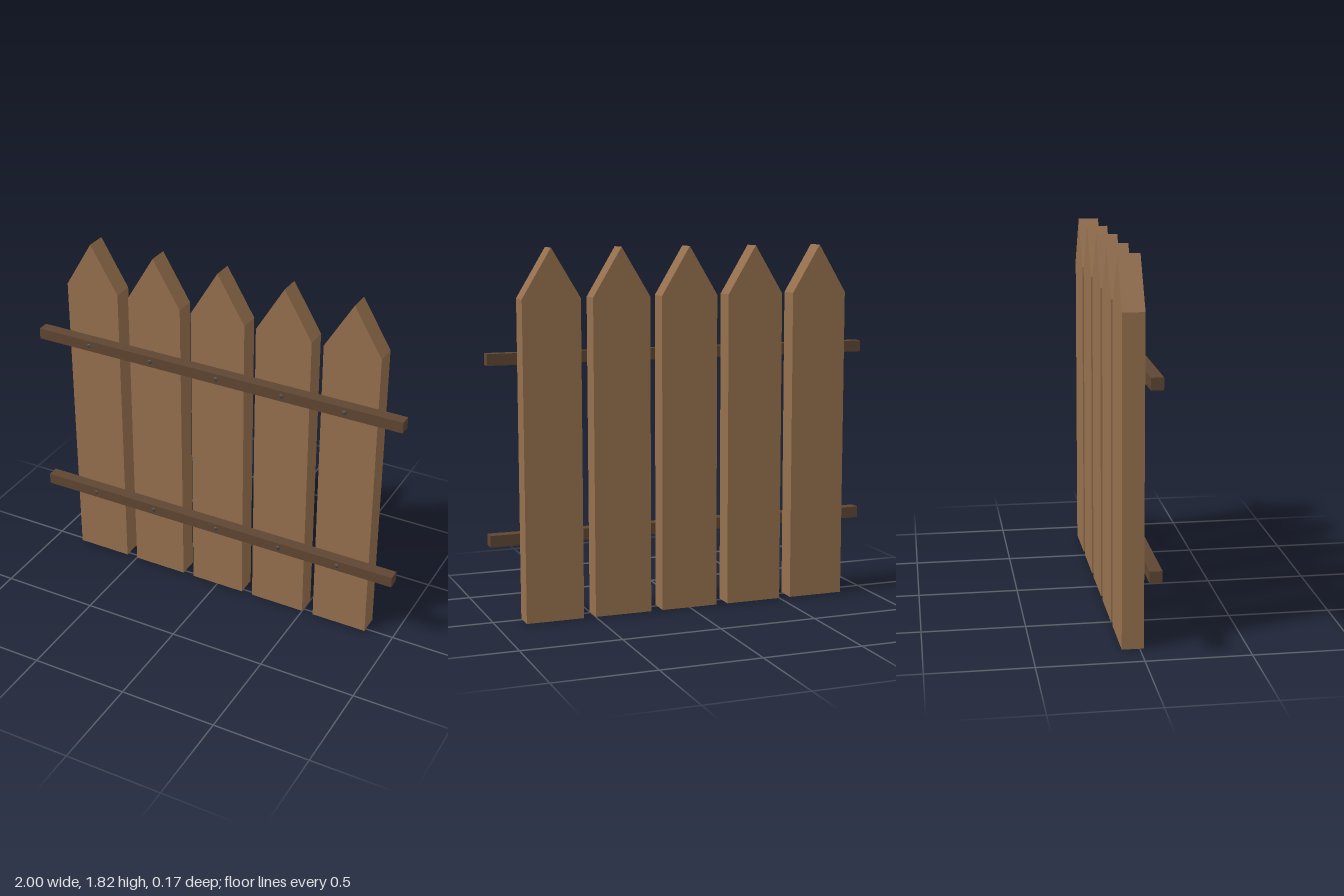
import * as THREE from 'three';

export function createModel() {
  const group = new THREE.Group();
  const mat = (color) => new THREE.MeshStandardMaterial({ color, flatShading: true });
  const boardMat = mat(0x96704e), railMat = mat(0x5f4633), nailMat = mat(0x47474a);

  const add = (name, geometry, material, x, y, z) => {
    const mesh = new THREE.Mesh(geometry, material);
    mesh.name = name;
    mesh.position.set(x, y, z);
    group.add(mesh);
    return mesh;
  };

  // Pointed picket outline, extruded from the back face forward
  const w = 0.146, back = -0.085, front = 0.019;
  const outline = new THREE.Shape([
    [-w, 0], [w, 0], [w, 1.58], [0, 1.822], [-w, 1.58],
  ].map(([x, y]) => new THREE.Vector2(x, y)));
  const picketGeo = new THREE.ExtrudeGeometry(outline, { depth: front - back, bevelEnabled: false });
  for (let i = -2; i <= 2; i++) add('picket', picketGeo, boardMat, i * 0.353, 0, back);

  // Horizontal rails with a small faceted nail head at each picket
  const railDepth = 0.059;
  const railGeo = new THREE.BoxGeometry(2, 0.057, railDepth);
  const nailGeo = new THREE.SphereGeometry(0.015, 8, 6);
  for (const y of [0.4, 1.288]) {
    add('rail', railGeo, railMat, 0, y, front + railDepth / 2);
    for (const x of [-0.705, -0.35, 0.02, 0.377, 0.705]) {
      add('nail', nailGeo, nailMat, x, y, 0.07);
    }
  }
  return group;
}
